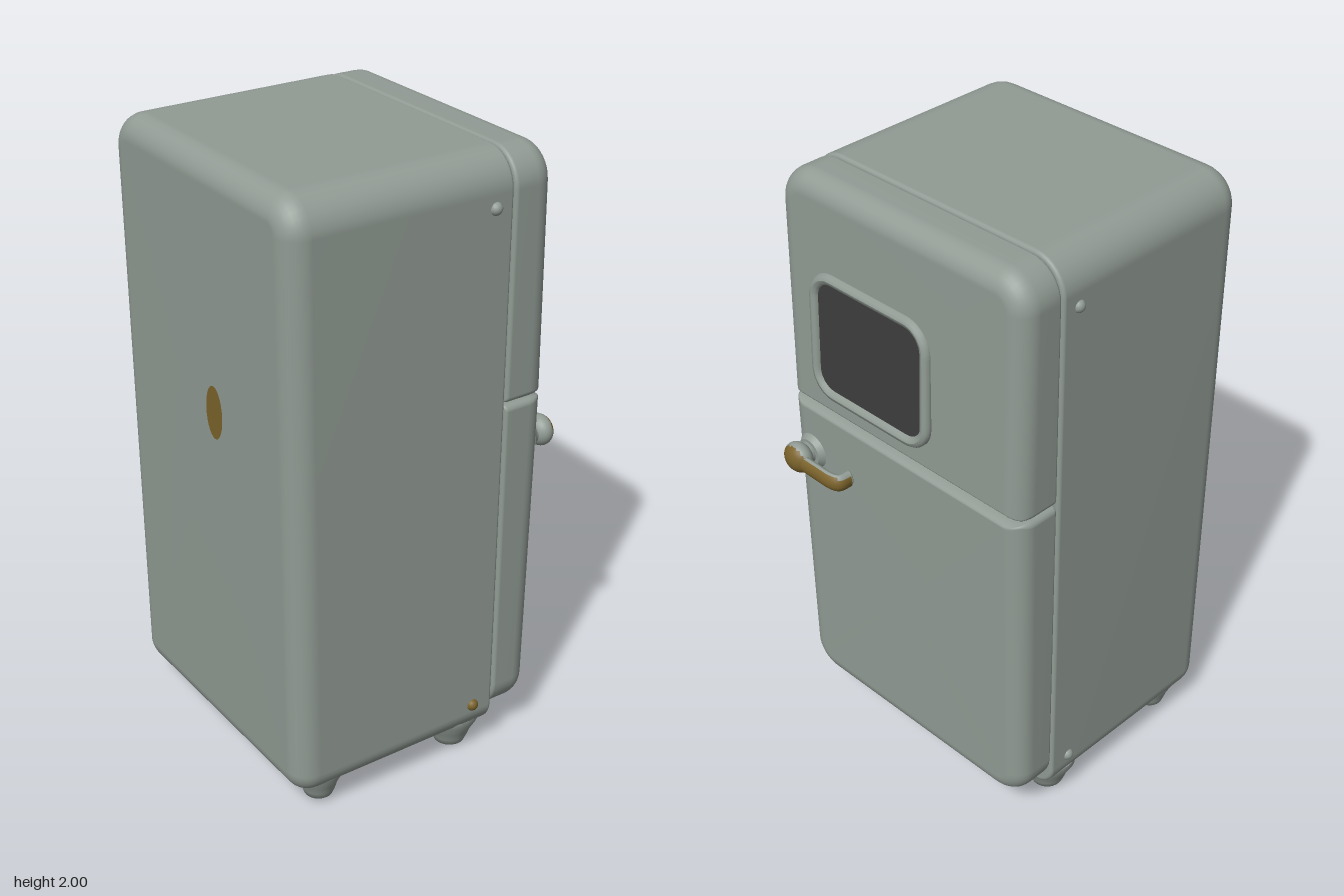
import * as THREE from 'three';

const mat = (name, color, side = THREE.FrontSide) => {
  const m = new THREE.MeshStandardMaterial({ color, side });
  m.name = name;
  return m;
};

// Point rings of a rounded rectangle in the z/y plane, seen from +x, counter-clockwise.
function roundedRing(z0, z1, y0, y1, rBottom, rTop, seg = 8) {
  const pts = [];
  const corners = [[z0, y1, rTop, 1, -1], [z1, y1, rTop, -1, -1], [z1, y0, rBottom, -1, 1], [z0, y0, rBottom, 1, 1]];
  corners.forEach(([z, y, r, sz, sy], k) => {
    for (let i = 0; i <= seg; i++) {
      const t = (k + i / seg) * Math.PI / 2;
      pts.push([z + sz * r - r * Math.cos(t), y + sy * r + r * Math.sin(t)]);
    }
  });
  return pts;
}

// Rounded slab lofted along x; kBottom and kTop scale the bevel on those sides.
function slab({ x0, x1, y0, y1, z0, z1, rBottom, rTop, back, front, kBottom = 1, kTop = 1 }) {
  const steps = 8, sections = [];
  for (let i = 0; i <= steps; i++) {
    const a = i / steps * Math.PI / 2;
    sections.push([x0 + back * (1 - Math.cos(a)), back * (1 - Math.sin(a))]);
  }
  for (let i = 0; i <= steps; i++) {
    const a = i / steps * Math.PI / 2;
    sections.push([x1 - front * (1 - Math.sin(a)), front * (1 - Math.cos(a))]);
  }
  const pos = [], index = [];
  let n = 0;
  for (const [x, d] of sections) {
    const ring = roundedRing(z0 + d, z1 - d, y0 + d * kBottom, y1 - d * kTop,
      Math.max(rBottom - d, 0.006), Math.max(rTop - d, 0.006));
    n = ring.length;
    ring.forEach(([z, y]) => pos.push(x, y, z));
  }
  const last = sections.length - 1, c0 = (last + 1) * n, c1 = c0 + 1;
  pos.push(x0, (y0 + y1) / 2, (z0 + z1) / 2, x1, (y0 + y1) / 2, (z0 + z1) / 2);
  for (let j = 0; j < n; j++) {
    const k = (j + 1) % n;
    for (let i = 0; i < last; i++) {
      const a = i * n + j, b = i * n + k;
      index.push(a, b, a + n, b, b + n, a + n);
    }
    index.push(c0, k, j, c1, last * n + j, last * n + k);
  }
  const g = new THREE.BufferGeometry();
  g.setAttribute('position', new THREE.Float32BufferAttribute(pos, 3));
  g.setIndex(index);
  return g;
}

// Moves each vertex in x by a rule of its position.
function shiftX(g, rule) {
  const p = g.attributes.position;
  for (let i = 0; i < p.count; i++) p.setX(i, p.getX(i) + rule(p.getX(i), p.getY(i), p.getZ(i)));
  g.computeVertexNormals();
  return g;
}

// Splits faces into two material groups by the direction they face.
function splitByNormal(source, test) {
  const g = source.toNonIndexed(), p = g.attributes.position;
  const v = [0, 1, 2].map(() => new THREE.Vector3()), n = new THREE.Vector3();
  for (let i = 0; i < p.count; i += 3) {
    v.forEach((q, k) => q.fromBufferAttribute(p, i + k));
    new THREE.Triangle(...v).getNormal(n);
    g.addGroup(i, 3, test(n) ? 1 : 0);
  }
  return g;
}

export function createModel() {
  const enamel = mat('greyGreenEnamel', 0x919b94);
  const glass = mat('darkGlass', 0x3d3d3d, THREE.DoubleSide);
  const brass = mat('agedBrass', 0x7a622b, THREE.DoubleSide);
  const group = new THREE.Group();
  group.name = 'refrigerator';
  const add = (name, geometry, material, x = 0, y = 0, z = 0) => {
    const m = new THREE.Mesh(geometry, material);
    m.name = name;
    m.position.set(x, y, z);
    group.add(m);
    return m;
  };

  // Cabinet, narrowing slightly toward its foot at the back
  add('cabinet', shiftX(slab({ x0: -0.495, x1: 0.243, y0: 0.085, y1: 2, z0: -0.49, z1: 0.485,
    rBottom: 0.08, rTop: 0.11, back: 0.075, front: 0.012 }),
  (x, y) => (x < 0 ? 0.016 * (1 - y / 2) : 0)), enamel);

  // Two doors on the +x side with a groove between them
  const door = { x0: 0.247, x1: 0.39, z0: -0.49, z1: 0.485, back: 0.012, front: 0.065 };
  const bulge = (x, y) => (x > 0.3 ? 0.012 * Math.max(0, 1 - Math.abs(y - 1.2) / 0.9) : 0);
  add('upperDoor', shiftX(slab({ ...door, y0: 1.23, y1: 1.998, rBottom: 0.02, rTop: 0.11, kBottom: 0.35 }), bulge), enamel);
  add('lowerDoor', shiftX(slab({ ...door, y0: 0.12, y1: 1.222, rBottom: 0.11, rTop: 0.02, kTop: 0.35 }), bulge), enamel);

  // Window frame and pane, leaning out a little at the bottom
  const lean = (x, y) => -0.03 * (y - 1.51);
  const path = new THREE.CurvePath();
  const ring = roundedRing(-0.127, 0.333, 1.318, 1.707, 0.075, 0.075).map(([z, y]) => new THREE.Vector3(0.4, y, z));
  ring.forEach((p, i) => path.add(new THREE.LineCurve3(p, ring[(i + 1) % ring.length])));
  add('windowFrame', shiftX(new THREE.TubeGeometry(path, 160, 0.018, 10, true), lean), enamel);
  const pane = new THREE.Shape(roundedRing(-0.119, 0.325, 1.326, 1.699, 0.067, 0.067)
    .map(([z, y]) => new THREE.Vector2(-z, y)));
  add('windowPane', shiftX(new THREE.ShapeGeometry(pane).rotateY(Math.PI / 2).translate(0.405, 0, 0), lean), glass);

  // Handle: rosette, stem, knob and bent lever, brass on the outward faces
  const facing = new THREE.Vector3(0.5, -0.5, -0.7);
  const isBrass = n => n.x > 0.55 || n.dot(facing) > 0.5;
  const handleMats = [enamel, brass];
  add('handleRosette', new THREE.CylinderGeometry(0.045, 0.06, 0.02, 28).rotateZ(-Math.PI / 2), enamel, 0.408, 1.05, 0.39);
  add('handleStem', new THREE.CylinderGeometry(0.035, 0.035, 0.04, 20).rotateZ(-Math.PI / 2), enamel, 0.43, 1.05, 0.395);
  const knob = new THREE.SphereGeometry(0.05, 28, 20).scale(0.76, 1, 1.06);
  add('handleKnob', splitByNormal(knob, isBrass), handleMats, 0.455, 1.05, 0.395);
  const bend = new THREE.CatmullRomCurve3([[0.462, 0.39], [0.463, 0.3], [0.462, 0.235], [0.452, 0.212], [0.418, 0.208]]
    .map(([x, z]) => new THREE.Vector3(x, 0, z)));
  const lever = new THREE.TubeGeometry(bend, 40, 0.019, 14).scale(1, 1.5, 1);
  lever.computeVertexNormals();
  add('handleLever', splitByNormal(lever, isBrass), handleMats, 0, 1.045, 0);
  add('leverTip', new THREE.SphereGeometry(0.019, 16, 12).scale(0.5, 1.5, 1), enamel, 0.418, 1.045, 0.208);

  // Feet: flared at the top and rounded below, the front pair larger
  const foot = new THREE.LatheGeometry([[0, 0], [0.03, 0.002], [0.05, 0.012], [0.06, 0.035], [0.068, 0.06], [0.09, 0.1], [0.09, 0.12]]
    .map(([r, y]) => new THREE.Vector2(r, y)), 28);
  for (const z of [-0.39, 0.385]) {
    add('frontFoot', foot, enamel, 0.155, 0, z);
    const back = add('backFoot', foot, enamel, -0.35, 0.008, z);
    back.scale.set(0.9, 1, 0.9);
  }

  // Small round pins on both cabinet sides; one lower pin is brass
  const pin = new THREE.SphereGeometry(0.02, 18, 12);
  for (const [side, z] of [[1, 0.482], [-1, -0.484]]) {
    add('upperPin', pin, enamel, 0.18, 1.85, z);
    add('lowerPin', pin, side > 0 ? brass : enamel, 0.167, 0.19, z);
  }

  // Thin oval marks on the back and the underside
  const oval = new THREE.CircleGeometry(1, 28);
  const rearMark = add('rearMark', oval, brass, -0.4925, 1.24, 0.07);
  rearMark.rotation.y = -Math.PI / 2;
  rearMark.scale.set(0.045, 0.085, 1);
  const baseMark = add('baseMark', oval, glass, -0.27, 0.083, 0.08);
  baseMark.rotation.x = Math.PI / 2;
  baseMark.scale.set(0.03, 0.06, 1);

  return group;
}
